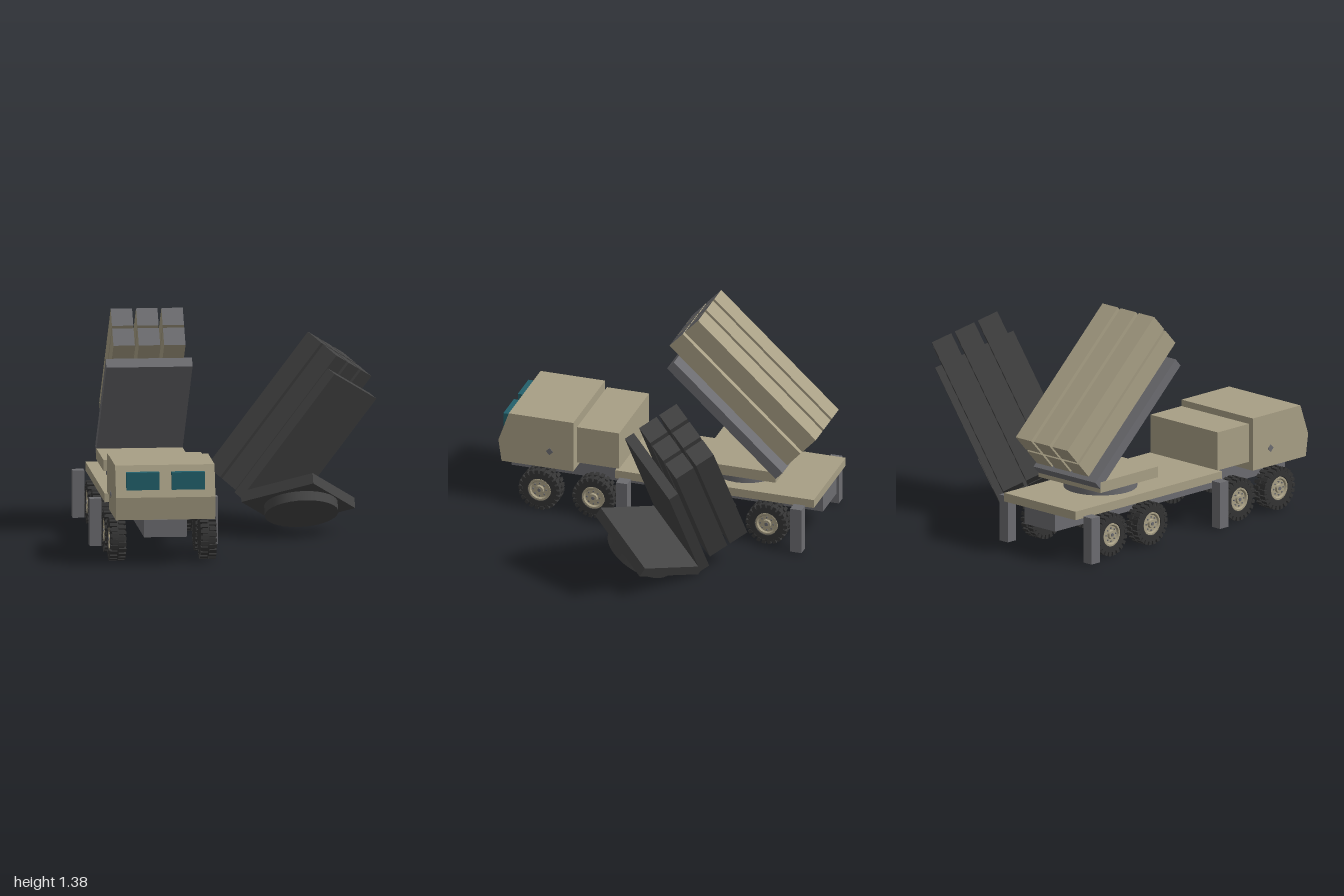
import * as THREE from 'three';
import { mergeGeometries, toCreasedNormals } from 'three/addons/utils/BufferGeometryUtils.js';

const material = (name, color) => {
  const m = new THREE.MeshStandardMaterial({ color });
  m.name = name;
  return m;
};

const TRUCK_X = -0.506;
const DEG = Math.PI / 180;

export function createModel() {
  const tan = material('tan paint', 0xa89f85);
  const grey = material('grey metal', 0x6c6c70);
  const black = material('black metal', 0x444444);
  const rubber = material('rubber', 0x343434);
  const glass = material('teal glass', 0x22606b);

  const model = new THREE.Group();
  model.name = 'launcherTruck';

  const add = (parent, name, geometry, mat) => {
    const mesh = new THREE.Mesh(geometry, mat);
    mesh.name = name;
    parent.add(mesh);
    return mesh;
  };

  // Box given by its ranges on the three axes
  const box = (parent, name, mat, [x0, x1], [y0, y1], [z0, z1]) => {
    const mesh = add(parent, name, new THREE.BoxGeometry(x1 - x0, y1 - y0, z1 - z0), mat);
    mesh.position.set((x0 + x1) / 2, (y0 + y1) / 2, (z0 + z1) / 2);
    return mesh;
  };

  const truck = new THREE.Group();
  truck.name = 'truck';
  truck.position.x = TRUCK_X;
  model.add(truck);

  // Body
  box(truck, 'chassis', grey, [-0.129, 0.129], [0.175, 0.28], [-1, 0.975]);
  box(truck, 'deck', tan, [-0.3, 0.3], [0.28, 0.333], [-1, 0.26]);
  box(truck, 'engineBox', tan, [-0.283, 0.283], [0.338, 0.575], [0.24, 0.507]);

  // Cab: side profile pushed across the width
  const profile = new THREE.Shape([
    [0.525, 0.282], [0.98, 0.282], [1.0, 0.42], [0.934, 0.608], [0.525, 0.608],
  ].map(([z, y]) => new THREE.Vector2(z, y)));
  const cab = new THREE.ExtrudeGeometry(profile, { depth: 0.6, bevelEnabled: false });
  cab.translate(0, 0, -0.3).rotateY(-Math.PI / 2);
  add(truck, 'cab', cab, tan);

  for (const s of [-1, 1]) {
    // Upright window panes set into the sloping front
    const pane = box(truck, 'windscreenPane', glass, [-0.1, 0.1], [0.464, 0.57], [0.93, 0.99]);
    pane.position.x = s * 0.137;

    const cap = add(truck, 'sideCap', new THREE.CylinderGeometry(0.023, 0.023, 0.006, 4), grey);
    cap.rotation.z = Math.PI / 2;
    cap.position.set(s * 0.301, 0.393, 0.675);

    for (const z of [0.19, -0.915]) {
      const leg = box(truck, 'stabiliserLeg', grey, [-0.035, 0.035], [0.01, 0.297], [z - 0.036, z + 0.036]);
      leg.position.x = s * 0.352;
    }
  }

  // Wheel geometry, axis along x with the outer side at +x
  const lathe = (points, segments) => toCreasedNormals(
    new THREE.LatheGeometry(points.map(([r, y]) => new THREE.Vector2(r, y)), segments)
      .rotateZ(-Math.PI / 2), 0.6);
  const tyre = lathe([
    [0, -0.046], [0.108, -0.046], [0.121, -0.036], [0.121, 0.036],
    [0.108, 0.046], [0.074, 0.046], [0.07, 0.03], [0, 0.03],
  ], 32);
  const rim = lathe([
    [0.071, 0.03], [0.071, 0.044], [0.06, 0.044], [0.053, 0.034],
    [0.028, 0.034], [0.024, 0.046], [0, 0.046],
  ], 24);
  const treadBlocks = [];
  const LUGS = 22;
  for (let i = 0; i < LUGS; i++) {
    for (const s of [-1, 1]) {
      const block = new THREE.BoxGeometry(0.044, 0.024, 0.022);
      block.translate(s * 0.026, 0.119, 0);
      block.rotateX(((i + (s > 0 ? 0.5 : 0)) / LUGS) * Math.PI * 2);
      treadBlocks.push(block);
    }
  }
  const tread = mergeGeometries(treadBlocks);
  const boltParts = [];
  for (let i = 0; i < 8; i++) {
    const bolt = new THREE.CylinderGeometry(0.005, 0.005, 0.008, 6);
    bolt.rotateZ(-Math.PI / 2).translate(0.036, 0.041, 0).rotateX((i / 8) * Math.PI * 2);
    boltParts.push(bolt);
  }
  const hub = new THREE.CylinderGeometry(0.011, 0.011, 0.006, 12);
  boltParts.push(hub.rotateZ(-Math.PI / 2).translate(0.047, 0, 0));
  const bolts = mergeGeometries(boltParts);

  for (const z of [0.735, 0.394, -0.36, -0.705]) {
    for (const s of [-1, 1]) {
      const wheel = new THREE.Group();
      wheel.name = 'wheel';
      wheel.position.set(s * 0.273, 0.133, z);
      wheel.rotation.y = s > 0 ? 0 : Math.PI;
      add(wheel, 'tyre', tyre, rubber);
      add(wheel, 'tread', tread, rubber);
      add(wheel, 'rim', rim, tan);
      add(wheel, 'wheelBolts', bolts, grey);
      truck.add(wheel);
    }
  }

  // Launcher: turntable, base slab, tilted bed and six boxes; origin under the slab
  const makeLauncher = (name, bodyMat, metalMat) => {
    const launcher = new THREE.Group();
    launcher.name = name;

    const disc = add(launcher, 'turntable', new THREE.CylinderGeometry(0.222, 0.222, 0.06, 32), metalMat);
    disc.position.set(0, -0.03, 0.018);
    box(launcher, 'baseSlab', bodyMat, [-0.26, 0.26], [0, 0.067], [-0.2475, 0.2475]);

    const bed = new THREE.Group();
    bed.name = 'tiltedBed';
    bed.rotation.x = -42.6 * DEG;
    launcher.add(bed);
    box(bed, 'bedPlate', metalMat, [-0.26, 0.26], [0.186, 0.25], [-0.165, 0.771]);

    // Only the front end of each box is metal coloured
    const faces = [bodyMat, bodyMat, bodyMat, bodyMat, metalMat, bodyMat];
    for (const y of [0.284, 0.428]) {
      for (const i of [-1, 0, 1]) {
        const x = i * 0.153;
        box(bed, 'launchBox', faces, [x - 0.0645, x + 0.0645], [y, y + 0.125], [-0.153, 0.86]);
      }
    }
    model.add(launcher);
    return launcher;
  };

  const mounted = makeLauncher('mountedLauncher', tan, grey);
  mounted.position.set(TRUCK_X, 0.39, -0.4975);

  // Spare launcher lying tipped beside the truck
  const loose = makeLauncher('looseLauncher', black, black);
  loose.position.set(0.4, 0.183, -0.145);
  loose.rotation.set(-30 * DEG, 57 * DEG, 0.02, 'ZXY');

  return model;
}
